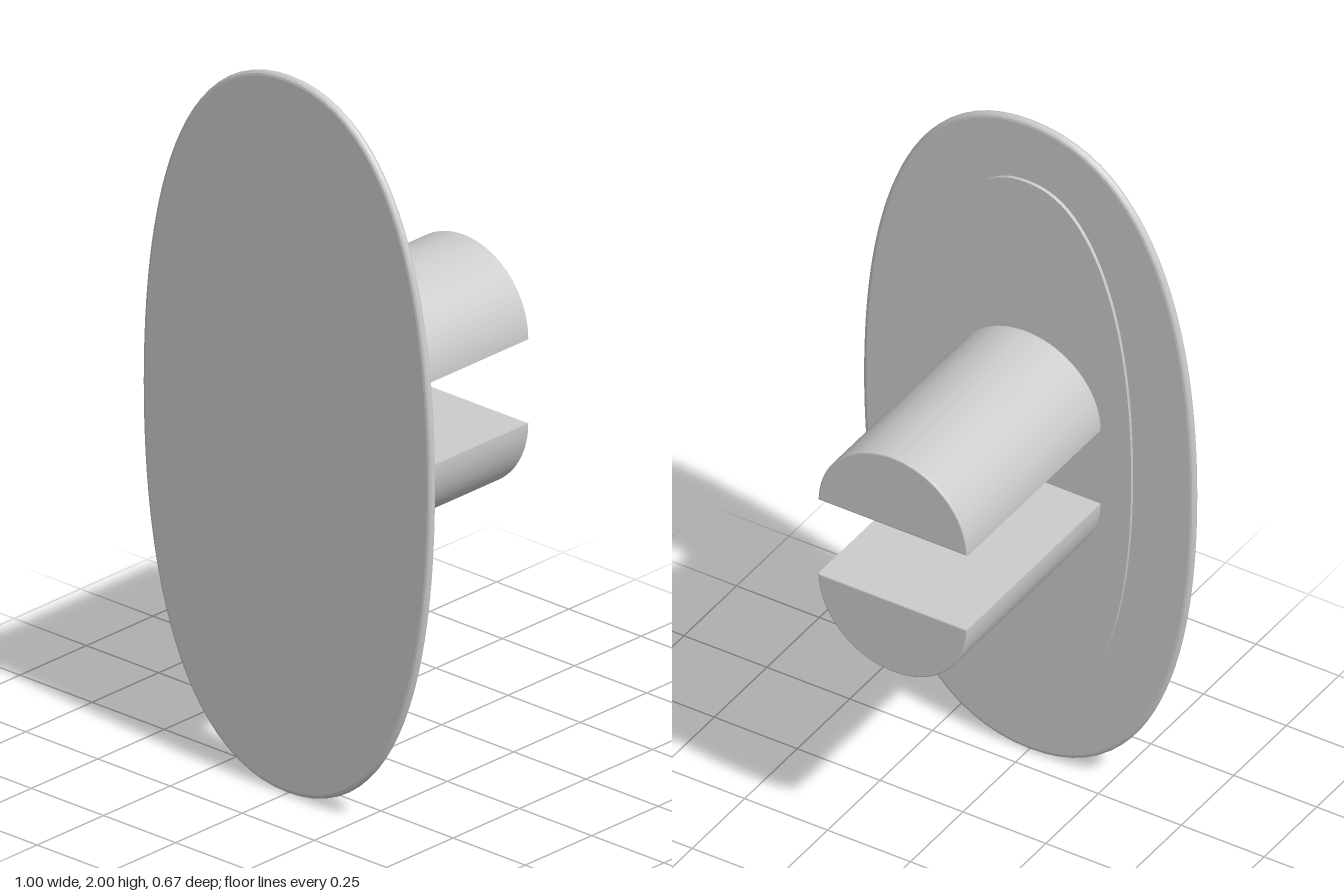
import * as THREE from 'three';
import { toCreasedNormals } from 'three/addons/utils/BufferGeometryUtils.js';

const material = new THREE.MeshStandardMaterial({ color: 0xcccccc });
const CENTER_Y = 1;

// Closed oval outline built from one quadrant, moved inward by `inset`
function ovalShape(inset) {
  const quadrant = new THREE.CubicBezierCurve(
    new THREE.Vector2(0.5, 0), new THREE.Vector2(0.5, 0.62),
    new THREE.Vector2(0.33, 1), new THREE.Vector2(0, 1));
  const n = 28;
  const quarter = [];
  for (let i = 0; i <= n; i++) {
    const p = quadrant.getPointAt(i / n);
    const t = quadrant.getTangentAt(i / n);
    quarter.push(new THREE.Vector2(p.x - t.y * inset, p.y + t.x * inset));
  }
  const points = [];
  const add = (list, sx, sy) => list.slice(0, n).forEach(p => points.push(new THREE.Vector2(p.x * sx, p.y * sy)));
  const reversed = [...quarter].reverse();
  add(quarter, 1, 1);
  add(reversed, -1, 1);
  add(quarter, -1, -1);
  add(reversed, 1, -1);
  return new THREE.Shape(points);
}

// Extrusion between two z values with rounded rims that stay inside the outline
function slab(name, shape, zBack, zFront, bevel) {
  let geometry = new THREE.ExtrudeGeometry(shape, {
    depth: zFront - zBack - 2 * bevel,
    bevelEnabled: bevel > 0,
    bevelThickness: bevel,
    bevelSize: bevel,
    bevelOffset: -bevel,
    bevelSegments: 3,
    curveSegments: 48,
  });
  geometry.translate(0, 0, zBack + bevel);
  geometry = toCreasedNormals(geometry, 0.25);
  const mesh = new THREE.Mesh(geometry, material);
  mesh.name = name;
  return mesh;
}

export function createModel() {
  const group = new THREE.Group();
  group.name = 'ovalKnob';

  // Front plate with a fully rounded rim
  const plate = slab('facePlate', ovalShape(0), 0.31, 0.335, 0.012);
  plate.position.y = CENTER_Y;

  // Thin raised pad on the back of the plate
  const pad = slab('backPad', ovalShape(0.183), 0.3, 0.32, 0);
  pad.position.y = CENTER_Y;
  group.add(plate, pad);

  // Two half-round prongs, flat sides facing each other
  for (const side of [1, -1]) {
    const half = new THREE.Shape();
    const start = side > 0 ? 0 : Math.PI;
    half.absarc(0, 0, 0.225, start, start + Math.PI, false);
    half.closePath();
    const prong = slab(side > 0 ? 'upperProng' : 'lowerProng', half, -0.335, 0.315, 0.005);
    prong.position.y = CENTER_Y + side * 0.117;
    group.add(prong);
  }
  return group;
}
